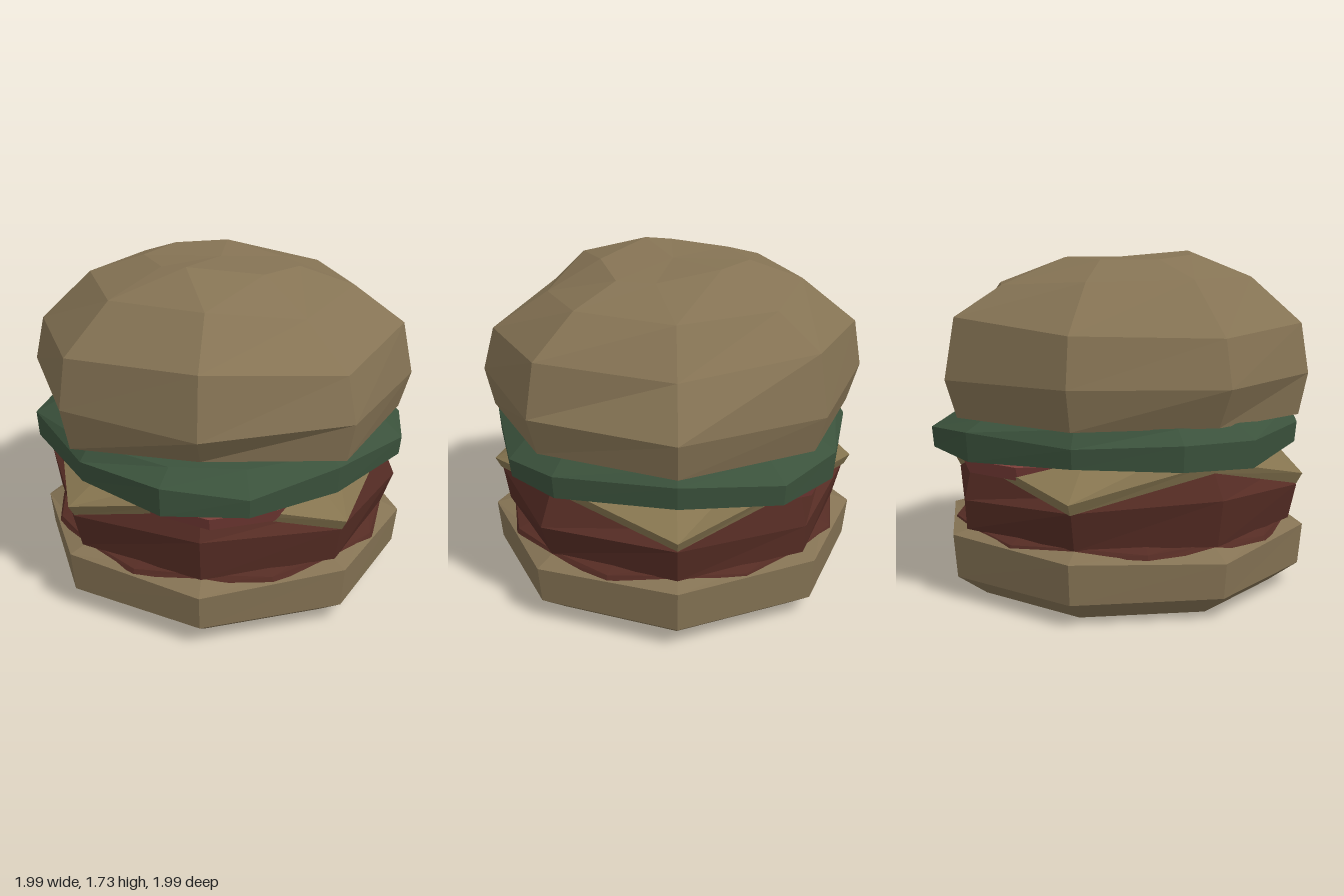
import * as THREE from 'three';

const EIGHT = [0, 45, 90, 135, 180, 225, 270, 315];
const at = (v, i) => (Array.isArray(v) ? v[i % v.length] : v);

// One cross-section: radii and heights per angle, starting at the front (+z) and turning towards +x
function ring(radius, y, angles = EIGHT) {
  return angles.map((deg, i) => {
    const a = THREE.MathUtils.degToRad(deg);
    return new THREE.Vector3(at(radius, i) * Math.sin(a), at(y, i), at(radius, i) * Math.cos(a));
  });
}

// Faceted solid through rings listed from bottom to top; ends close to a centre point
function loft(name, material, rings, bottomY, topY) {
  const pos = [];
  const tri = (...pts) => pts.forEach((p) => pos.push(p.x, p.y, p.z));
  const n = rings[0].length;
  const first = rings[0], last = rings[rings.length - 1];
  const low = new THREE.Vector3(0, bottomY, 0), high = new THREE.Vector3(0, topY, 0);
  for (let i = 0; i < n; i++) {
    const j = (i + 1) % n;
    tri(low, first[j], first[i]);
    for (let k = 0; k < rings.length - 1; k++) {
      const a = rings[k], b = rings[k + 1];
      tri(a[i], a[j], b[j]);
      tri(a[i], b[j], b[i]);
    }
    tri(high, last[i], last[j]);
  }
  const geometry = new THREE.BufferGeometry();
  geometry.setAttribute('position', new THREE.Float32BufferAttribute(pos, 3));
  geometry.computeVertexNormals();
  const mesh = new THREE.Mesh(geometry, material);
  mesh.name = name;
  return mesh;
}

function paint(name, color) {
  const m = new THREE.MeshStandardMaterial({ color, flatShading: true });
  m.name = name;
  return m;
}

export function createModel() {
  const bread = paint('bread', 0x857354);
  const cheeseYellow = paint('cheese', 0x85744f);
  const meat = paint('meat', 0x552c24);
  const tomatoRed = paint('tomato', 0x7c3e39);
  const leaf = paint('lettuce', 0x3b523c);
  const model = new THREE.Group();
  model.name = 'burger';

  // Bottom bun with a chamfered foot and a gently sloped top
  model.add(loft('bottomBun', bread, [
    ring(0.8, 0),
    ring(0.955, 0.11),
    ring(0.975, [0.29, 0.32, 0.3, 0.32, 0.33, 0.31, 0.285, 0.32]),
    ring(0.86, 0.355),
  ], 0, 0.36));

  // Sauce film that reaches the bun's rim between its corners
  const sixteen = Array.from({ length: 16 }, (_, i) => i * 22.5);
  model.add(loft('sauce', meat, [
    ring([0.89, 0.895], [0.325, 0.315], sixteen),
    ring([0.87, 0.885], [0.36, 0.338], sixteen),
    ring(0.8, 0.37, sixteen),
  ], 0.33, 0.37));

  // Patty
  model.add(loft('patty', meat, [
    ring([0.9, 0.9, 0.88], 0.35),
    ring([0.93, 0.93, 0.94, 0.94, 0.91, 0.93, 0.94, 0.94], [0.57, 0.53, 0.52, 0.53, 0.5, 0.54, 0.58, 0.53]),
    ring([0.86, 0.84], [0.71, 0.6]),
  ], 0.35, 0.72));

  // Cheese slice: the four corners droop between raised edges
  model.add(loft('cheese', cheeseYellow, [
    ring([0.87, 0.94], [0.7, 0.535]),
    ring([0.89, 0.97], [0.755, 0.59]),
    ring([0.6, 0.72], [0.77, 0.74]),
  ], 0.71, 0.77));

  // Two tomato slices, poking out at the front and the back
  for (const [name, x, z] of [['frontTomato', 0.05, 0.52], ['backTomato', -0.05, -0.48]]) {
    const slice = loft(name, tomatoRed, [ring(0.42, 0.65), ring(0.45, 0.72)], 0.65, 0.73);
    slice.position.set(x, 0, z);
    model.add(slice);
  }

  // Lettuce with an uneven rim
  const leafAngles = [-10, 14, 43, 78, 97, 135, 165, 189, 225, 257, 279, 319];
  const leafR = [1.01, 0.98, 0.94, 0.975, 0.96, 0.93, 1.01, 0.97, 0.92, 0.955, 0.985, 0.93];
  const leafTop = [0.88, 0.82, 0.88, 0.83, 0.84, 0.86, 0.84, 0.87, 0.84, 0.86, 0.86, 0.85];
  model.add(loft('lettuce', leaf, [
    ring(0.7, 0.75, leafAngles),
    ring(leafR.map((r) => r - 0.01), [0.735, 0.725, 0.745], leafAngles),
    ring(leafR, leafTop, leafAngles),
    ring(0.87, 0.925, leafAngles),
  ], 0.76, 0.93));

  // Top bun: uneven faceted dome with a slightly sunken crown
  const crownAngles = [-22, 41, 90, 120, 180, 224, 267, 315];
  model.add(loft('topBun', bread, [
    ring([0.88, 0.95, 0.94, 0.96, 0.94, 0.93, 0.9, 0.94], [0.97, 0.91, 0.92, 0.915, 0.92, 0.92, 0.92, 0.9]),
    ring([0.985, 0.995, 0.995, 1.005, 1, 0.99, 0.995, 0.985], [1.11, 1.11, 1.11, 1.1, 1.11, 1.12, 1.11, 1.115]),
    ring([0.93, 0.935, 0.94, 0.845, 0.945, 0.95, 0.945, 0.945], [1.415, 1.335, 1.38, 1.34, 1.415, 1.36, 1.34, 1.37]),
    ring([0.68, 0.645, 0.68, 0.68, 0.69, 0.665, 0.68, 0.685], [1.62, 1.53, 1.57, 1.56, 1.565, 1.59, 1.6, 1.6]),
    ring([0.355, 0.37, 0.4, 0.35, 0.33, 0.39, 0.4, 0.37], [1.73, 1.69, 1.66, 1.66, 1.7, 1.69, 1.69, 1.71], crownAngles),
  ], 0.93, 1.7));

  return model;
}
